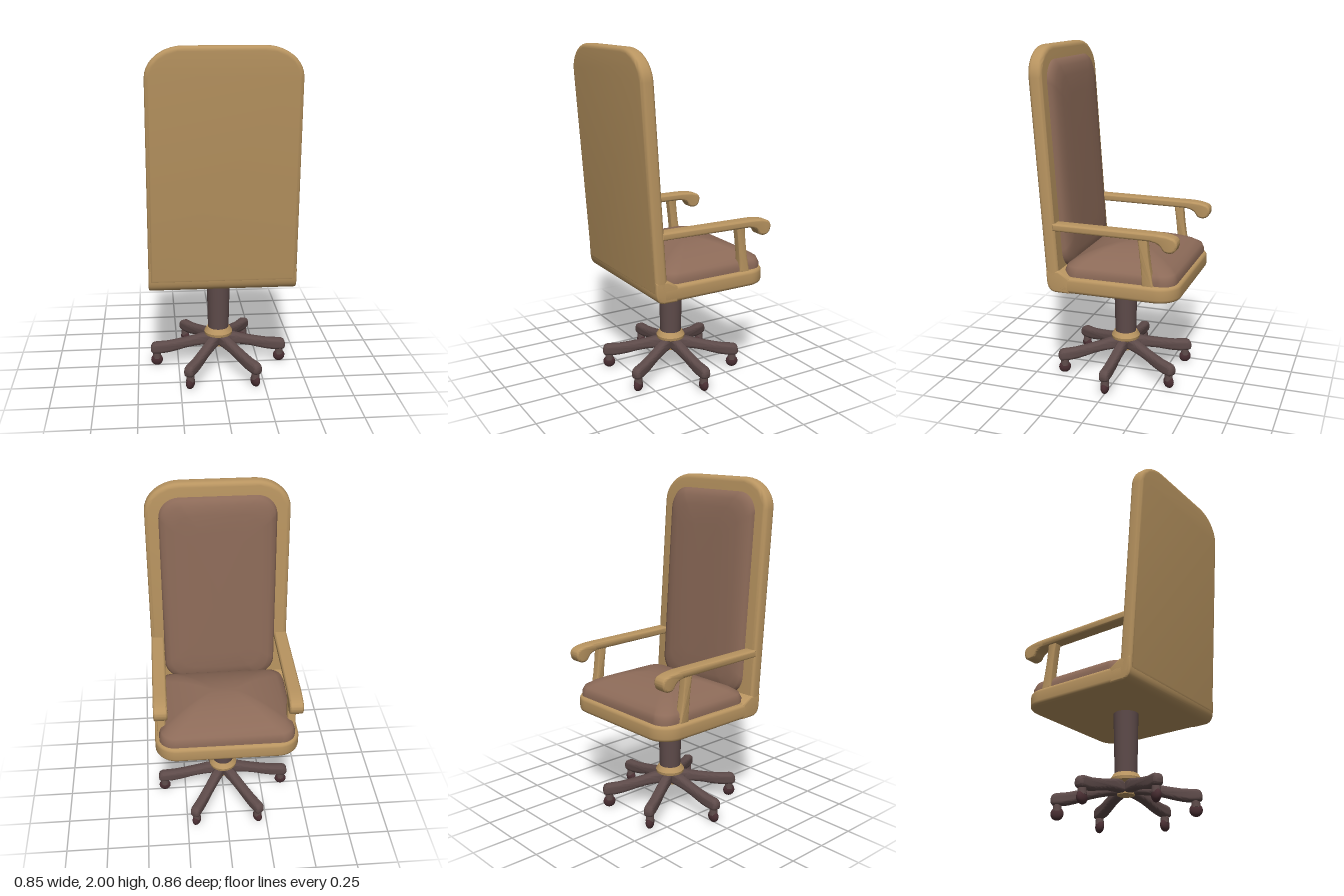
import * as THREE from 'three';
import { toCreasedNormals } from 'three/addons/utils/BufferGeometryUtils.js';

const wood = new THREE.MeshStandardMaterial({ color: 0xb89460 });
const leather = new THREE.MeshStandardMaterial({ color: 0x8c6a58 });
const dark = new THREE.MeshStandardMaterial({ color: 0x5e4b4a });
const wheelMat = new THREE.MeshStandardMaterial({ color: 0x4a2f33 });

// Rectangle with elliptical top corners and separately rounded bottom corners
function roundRect(hw, y0, y1, rx, ry, rb) {
  const k = 0.45, s = new THREE.Shape();
  s.moveTo(-hw + rb, y0);
  s.lineTo(hw - rb, y0);
  s.bezierCurveTo(hw - rb * k, y0, hw, y0 + rb * k, hw, y0 + rb);
  s.lineTo(hw, y1 - ry);
  s.bezierCurveTo(hw, y1 - ry * k, hw - rx * k, y1, hw - rx, y1);
  s.lineTo(-hw + rx, y1);
  s.bezierCurveTo(-hw + rx * k, y1, -hw, y1 - ry * k, -hw, y1 - ry);
  s.lineTo(-hw, y0 + rb);
  s.bezierCurveTo(-hw, y0 + rb * k, -hw + rb * k, y0, -hw + rb, y0);
  return s;
}

// Bevelled extrusion centred on its depth, keeping the outline's size
function slab(shape, depth, bevel) {
  const g = new THREE.ExtrudeGeometry(shape, {
    depth: depth - 2 * bevel, curveSegments: 10, bevelEnabled: true, bevelThickness: bevel,
    bevelSize: bevel, bevelOffset: -bevel, bevelSegments: 4,
  });
  g.translate(0, 0, bevel - depth / 2);
  return toCreasedNormals(g, 0.8);
}

// Padded cushion: the outline is stepped inwards and raised, ring by ring
function cushion(hw, hl, corner, rings) {
  const outline = roundRect(hw, -hl, hl, corner, corner, corner).getPoints(8).slice(0, -1);
  const n = outline.length, pos = [], index = [];
  for (const [inset, h] of rings)
    for (const p of outline) pos.push(p.x * (1 - inset / hw), p.y * (1 - inset / hl), h);
  pos.push(0, 0, rings[rings.length - 1][1]);
  const centre = rings.length * n;
  for (let r = 0; r < rings.length; r++)
    for (let i = 0; i < n; i++) {
      const j = (i + 1) % n, a = r * n + i, b = r * n + j;
      if (r === rings.length - 1) index.push(a, b, centre);
      else index.push(a, b, b + n, a, b + n, a + n);
    }
  const g = new THREE.BufferGeometry();
  g.setAttribute('position', new THREE.Float32BufferAttribute(pos, 3));
  g.setIndex(index);
  g.computeVertexNormals();
  return g;
}

// Lean the backrest parts towards +z with height
function lean(g) {
  g.applyMatrix4(new THREE.Matrix4().set(1, 0, 0, 0, 0, 1, 0, 0, 0, 0.07, 1, -0.07 * 0.7, 0, 0, 0, 1));
  return g;
}

export function createModel() {
  const chair = new THREE.Group();
  chair.name = 'officeChair';
  const add = (name, geometry, material, parent = chair) => {
    const m = new THREE.Mesh(geometry, material);
    m.name = name;
    parent.add(m);
    return m;
  };

  // Seat frame, rounded at the sitter's front (-z)
  const seat = slab(roundRect(0.425, -0.28, 0.43, 0.13, 0.13, 0), 0.095, 0.022);
  seat.rotateX(-Math.PI / 2);
  seat.translate(0, 0.6575, 0);
  add('seatFrame', seat, wood);

  // Rear rail rounding the seat into the backrest (profile in -z, y)
  const rail = new THREE.Shape();
  rail.moveTo(-0.2, 0.61);
  rail.lineTo(-0.2, 0.7);
  rail.lineTo(-0.265, 0.74);
  rail.lineTo(-0.343, 0.74);
  rail.lineTo(-0.339, 0.675);
  rail.quadraticCurveTo(-0.335, 0.61, -0.28, 0.61);
  const railGeo = slab(rail, 0.85, 0.012);
  railGeo.rotateY(Math.PI / 2);
  add('rearRail', railGeo, wood);

  // Backrest frame and padding
  const back = slab(roundRect(0.425, 0.66, 2, 0.21, 0.17, 0), 0.08, 0.024);
  back.translate(0, 0, 0.303);
  add('backFrame', lean(back), wood);

  const backPad = cushion(0.345, 0.6, 0.12,
    [[0, -0.01], [0, 0.004], [0.012, 0.022], [0.04, 0.038], [0.095, 0.047], [0.2, 0.05]]);
  backPad.rotateY(Math.PI);
  backPad.translate(0, 1.32, 0.266);
  add('backCushion', lean(backPad), leather);

  // Domed seat padding
  const seatPad = cushion(0.4, 0.335, 0.09,
    [[0, -0.01], [0, 0.025], [0.012, 0.055], [0.05, 0.08], [0.11, 0.107], [0.18, 0.132], [0.25, 0.148], [0.31, 0.153]]);
  seatPad.rotateX(-Math.PI / 2);
  seatPad.translate(0, 0.705, -0.075);
  add('seatCushion', seatPad, leather);

  // Armrest with a scrolled tip, and its slanted post (profiles in -z, y)
  const arm = new THREE.Shape();
  arm.moveTo(-0.3, 0.975);
  arm.lineTo(-0.3, 1.018);
  arm.lineTo(0.3, 1.012);
  arm.quadraticCurveTo(0.37, 1.01, 0.41, 0.995);
  arm.bezierCurveTo(0.435, 0.985, 0.435, 0.955, 0.428, 0.94);
  arm.bezierCurveTo(0.42, 0.9, 0.355, 0.9, 0.345, 0.932);
  arm.quadraticCurveTo(0.325, 0.965, 0.27, 0.968);
  const post = new THREE.Shape();
  post.moveTo(0.23, 0.69);
  post.lineTo(0.298, 0.69);
  post.quadraticCurveTo(0.265, 0.83, 0.256, 0.985);
  post.lineTo(0.2, 0.985);
  post.quadraticCurveTo(0.225, 0.83, 0.23, 0.69);
  for (const [side, label] of [[1, 'left'], [-1, 'right']]) {
    const armGeo = slab(arm, 0.08, 0.012);
    armGeo.rotateY(Math.PI / 2);
    add(label + 'Armrest', armGeo, wood).position.x = side * 0.385;
    const postGeo = slab(post, 0.05, 0.008);
    postGeo.rotateY(Math.PI / 2);
    add(label + 'ArmPost', postGeo, wood).position.x = side * 0.385;
  }

  // Column and hub
  const column = new THREE.CylinderGeometry(0.073, 0.064, 0.39, 24);
  column.translate(0, 0.425, 0);
  add('column', column, dark);
  const hubProfile = [[0, 0.13], [0.05, 0.13], [0.058, 0.19], [0.085, 0.205], [0.088, 0.222], [0.07, 0.25], [0, 0.25]];
  const hub = new THREE.LatheGeometry(hubProfile.map(([r, y]) => new THREE.Vector2(r, y)), 24);
  add('hub', toCreasedNormals(hub, 0.7), wood);

  // Six curved legs, each ending in a caster
  const leg = new THREE.Shape();
  leg.moveTo(0.03, 0.135);
  leg.quadraticCurveTo(0.13, 0.135, 0.22, 0.112);
  leg.quadraticCurveTo(0.31, 0.085, 0.36, 0.083);
  leg.lineTo(0.4, 0.083);
  leg.quadraticCurveTo(0.423, 0.085, 0.423, 0.11);
  leg.quadraticCurveTo(0.423, 0.148, 0.39, 0.152);
  leg.lineTo(0.32, 0.156);
  leg.quadraticCurveTo(0.2, 0.175, 0.1, 0.203);
  leg.lineTo(0.03, 0.203);
  const legGeo = slab(leg, 0.058, 0.018);
  const wheelGeo = new THREE.SphereGeometry(0.037, 20, 14);
  wheelGeo.scale(1, 1, 0.65);
  const forkGeo = new THREE.CylinderGeometry(0.022, 0.026, 0.05, 12);
  for (let i = 0; i < 6; i++) {
    const spoke = new THREE.Group();
    spoke.name = 'leg' + (i + 1);
    spoke.rotation.y = i * Math.PI / 3;
    add('legBar', legGeo, dark, spoke);
    add('casterStem', forkGeo, dark, spoke).position.set(0.385, 0.075, 0);
    add('casterWheel', wheelGeo, wheelMat, spoke).position.set(0.385, 0.037, 0);
    chair.add(spoke);
  }
  return chair;
}
